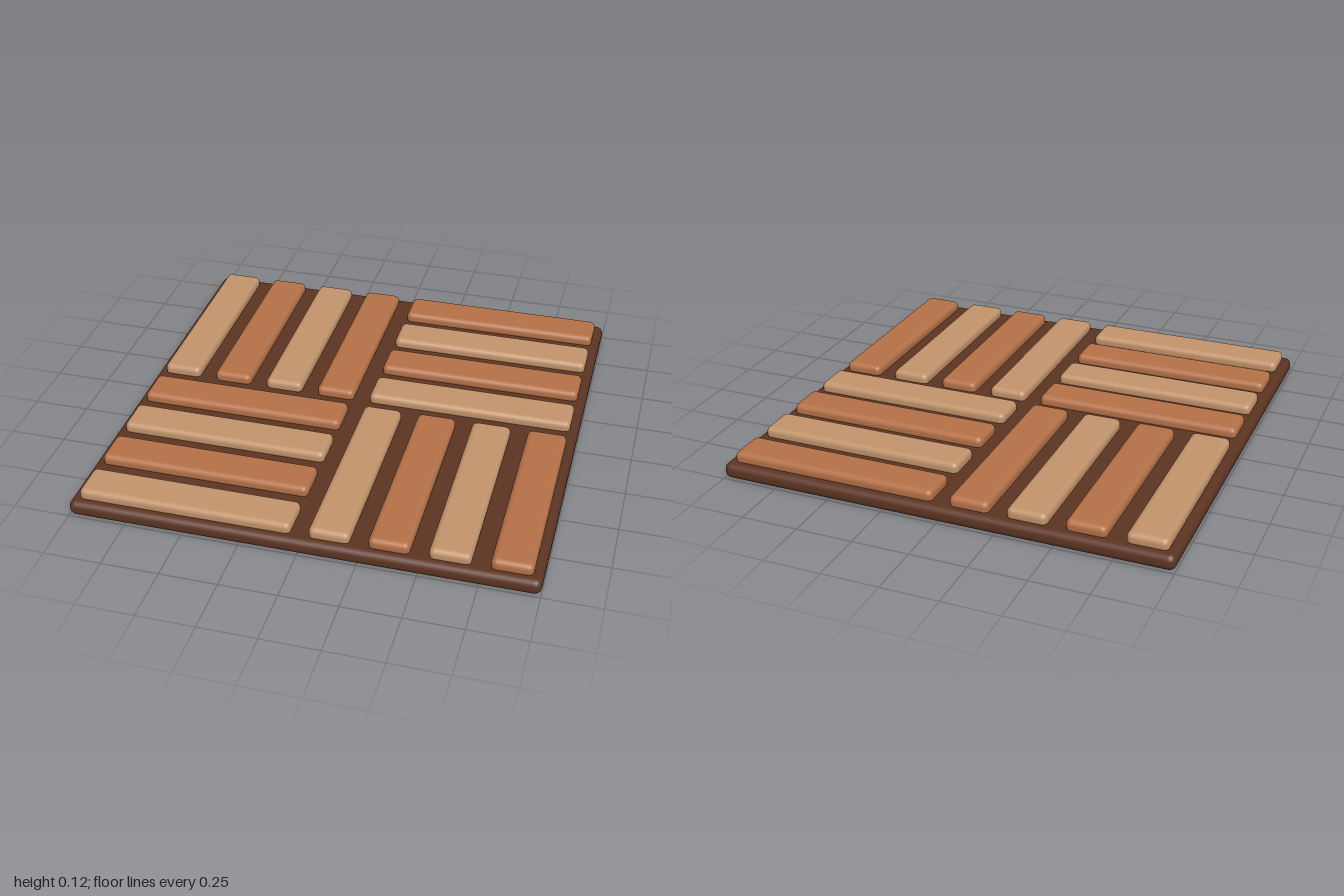
import * as THREE from 'three';
import { RoundedBoxGeometry } from 'three/addons/geometries/RoundedBoxGeometry.js';

const material = (name, color) => {
  const m = new THREE.MeshStandardMaterial({ color });
  m.name = name;
  return m;
};

export function createModel() {
  const model = new THREE.Group();
  model.name = 'parquetTile';

  const darkWood = material('dark wood', 0x5c3422);
  const lightWood = material('light wood', 0xc0926a);
  const redWood = material('reddish wood', 0xb37047);

  // Backing board
  const base = new THREE.Mesh(new RoundedBoxGeometry(2, 0.07, 2, 4, 0.03), darkWood);
  base.name = 'baseBoard';
  base.position.y = 0.035;
  model.add(base);

  // Slats: four per quarter, direction alternating like a basket weave
  const length = 0.926, width = 0.174, height = 0.06;
  const alongZ = new RoundedBoxGeometry(width, height, length, 4, 0.025);
  const alongX = new RoundedBoxGeometry(length, height, width, 4, 0.025);

  for (const sx of [-1, 1]) {
    for (const sz of [-1, 1]) {
      const lengthwise = sx === sz;
      const quarter = new THREE.Group();
      quarter.name = `${sz > 0 ? 'front' : 'back'}${sx > 0 ? 'Left' : 'Right'}Quarter`;
      quarter.position.set(sx * 0.5, 0.115 - height / 2, sz * 0.5);
      for (let i = 0; i < 4; i++) {
        const offset = -0.375 + i * 0.25;
        const light = (i % 2 === 0) === lengthwise;
        const slat = new THREE.Mesh(lengthwise ? alongZ : alongX, light ? lightWood : redWood);
        slat.name = `slat${i + 1}`;
        slat.position.set(lengthwise ? offset : 0, 0, lengthwise ? 0 : offset);
        quarter.add(slat);
      }
      model.add(quarter);
    }
  }
  return model;
}
